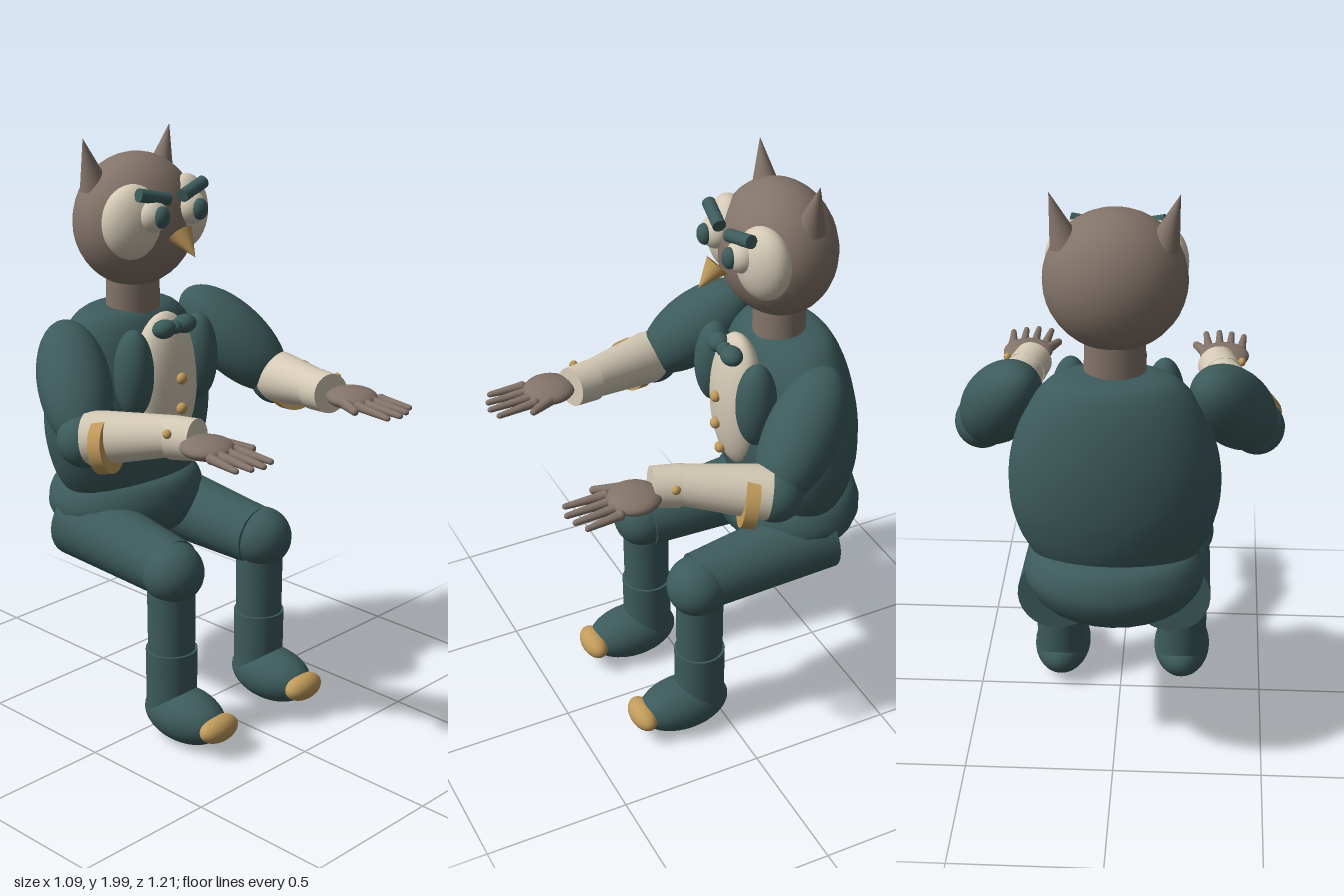
import * as THREE from 'three';

const mat = (name, color) => {
  const m = new THREE.MeshStandardMaterial({ color });
  m.name = name;
  return m;
};

export function createModel() {
  const root = new THREE.Group();
  root.name = 'seatedOwl';
  const suit = mat('suit teal', 0x3d5b5b);
  const feather = mat('feather taupe', 0x83746a);
  const cream = mat('shirt cream', 0xd3c9b5);
  const gold = mat('trim gold', 0xc09a5b);
  const V = (p) => new THREE.Vector3(...p);
  const UP = new THREE.Vector3(0, 1, 0);

  const add = (parent, name, geo, material, pos = [0, 0, 0]) => {
    const m = new THREE.Mesh(geo, material);
    m.name = name;
    m.position.set(...pos);
    parent.add(m);
    return m;
  };
  const ball = (parent, name, material, pos, radii) => {
    const m = add(parent, name, new THREE.SphereGeometry(1, 32, 20), material, pos);
    m.scale.set(...radii);
    return m;
  };
  // tapered limb from a (radius ra) to b (radius rb)
  const limb = (parent, name, material, a, b, ra, rb) => {
    const dir = V(b).sub(V(a));
    const m = add(parent, name, new THREE.CylinderGeometry(rb, ra, dir.length(), 28), material);
    m.position.copy(V(a)).addScaledVector(dir, 0.5);
    m.quaternion.setFromUnitVectors(UP, dir.normalize());
    return m;
  };
  const lathe = (parent, name, material, pts, z, depth, sides) => {
    const curve = new THREE.SplineCurve(pts.map((p) => new THREE.Vector2(...p)));
    const profile = curve.getPoints(32).map((p) => p.set(Math.max(p.x, 0), p.y));
    const m = add(parent, name, new THREE.LatheGeometry(profile, sides), material, [0, 0, z]);
    m.scale.z = depth;
    return m;
  };

  // Body
  lathe(root, 'torso', suit, [[0, 0.72], [0.2, 0.74], [0.285, 0.82], [0.33, 0.94], [0.34, 1.05],
    [0.327, 1.16], [0.29, 1.27], [0.235, 1.36], [0.16, 1.41], [0, 1.42]], -0.348, 0.62, 36);
  lathe(root, 'hips', suit, [[0, 0.56], [0.14, 0.575], [0.24, 0.62], [0.29, 0.69], [0.292, 0.75],
    [0.25, 0.81], [0.15, 0.825], [0, 0.825]], -0.36, 0.83, 24);
  ball(root, 'shirtFront', cream, [0, 1.163, -0.165], [0.136, 0.25, 0.08]);
  for (const [y, z] of [[1.196, -0.082], [1.09, -0.082], [0.985, -0.1]]) {
    ball(root, 'shirtButton', gold, [0, y, z], [0.02, 0.02, 0.018]);
  }
  ball(root, 'bowKnot', suit, [0, 1.37, -0.115], [0.024, 0.024, 0.028]);

  // Head
  const neck = limb(root, 'neck', feather, [0, 1.37, -0.315], [0, 1.53, -0.315], 0.1, 0.095);
  neck.scale.z = 0.87;
  ball(root, 'head', feather, [0, 1.71, -0.3], [0.225, 0.225, 0.19]);
  limb(root, 'beak', gold, [0, 1.693, -0.085], [0, 1.625, -0.017], 0.043, 0);

  // Paired parts: s = 1 is the model's left, s = -1 its right
  for (const s of [1, -1]) {
    const side = new THREE.Group();
    side.name = s > 0 ? 'leftSide' : 'rightSide';
    root.add(side);
    const P = (x, y, z) => [s * x, y, z];

    // Face
    limb(side, 'earTuft', feather, P(0.148, 1.835, -0.335), P(0.197, 2.0, -0.335), 0.05, 0);
    ball(side, 'faceDisc', cream, P(0.122, 1.735, -0.185), [0.105, 0.125, 0.07]).rotation.y = s * 0.35;
    ball(side, 'eyeball', cream, P(0.09, 1.76, -0.125), [0.055, 0.055, 0.05]);
    ball(side, 'iris', suit, P(0.088, 1.762, -0.082), [0.03, 0.036, 0.024]);
    limb(side, 'brow', suit, P(0.148, 1.837, -0.127), P(0.033, 1.81, -0.108), 0.022, 0.022);

    // Jacket front and bow tie
    ball(side, 'lapel', suit, P(0.152, 1.23, -0.155), [0.066, 0.152, 0.07]);
    ball(side, 'bowLoop', suit, P(0.048, 1.372, -0.115), [0.044, 0.032, 0.036]);

    // Arm
    const upper = ball(side, 'upperArm', suit, P(0.375, 1.235, -0.2), [0.122, 0.24, 0.122]);
    upper.quaternion.setFromUnitVectors(UP, V(P(0.075, -0.135, 0.13)).normalize());
    ball(side, 'elbow', suit, P(0.455, 1.1, -0.065), [0.092, 0.092, 0.092]);
    limb(side, 'forearm', cream, P(0.448, 1.108, -0.045), P(0.335, 1.155, 0.23), 0.091, 0.065);
    limb(side, 'sleeveBand', gold, P(0.454, 1.095, 0.005), P(0.438, 1.102, 0.045), 0.092, 0.09);
    limb(side, 'cuff', cream, P(0.341, 1.149, 0.22), P(0.319, 1.157, 0.305), 0.071, 0.067);
    ball(side, 'cuffButton', gold, P(0.405, 1.185, 0.258), [0.013, 0.015, 0.015]);

    // Hand
    ball(side, 'palm', feather, P(0.345, 1.155, 0.375), [0.086, 0.034, 0.088]);
    const fingers = [[0.405, 0.415, 0.57], [0.366, 0.371, 0.592], [0.328, 0.327, 0.602], [0.29, 0.28, 0.588]];
    for (const [x0, x1, z1] of fingers) {
      ball(side, 'knuckle', feather, P(x0, 1.152, 0.45), [0.017, 0.017, 0.017]);
      limb(side, 'finger', feather, P(x0, 1.152, 0.45), P(x1, 1.145, z1 - 0.01), 0.016, 0.01);
      ball(side, 'fingertip', feather, P(x1, 1.145, z1 - 0.01), [0.01, 0.01, 0.012]);
    }
    limb(side, 'thumb', feather, P(0.283, 1.155, 0.39), P(0.246, 1.15, 0.47), 0.02, 0.013);
    ball(side, 'thumbTip', feather, P(0.246, 1.15, 0.47), [0.013, 0.013, 0.013]);

    // Leg
    limb(side, 'thigh', suit, P(0.185, 0.648, -0.405), P(0.205, 0.612, 0.085), 0.13, 0.103);
    ball(side, 'knee', suit, P(0.217, 0.608, 0.092), [0.105, 0.105, 0.105]);
    limb(side, 'shin', suit, P(0.217, 0.3, 0.083), P(0.217, 0.6, 0.083), 0.08, 0.082);
    limb(side, 'bootShaft', suit, P(0.217, 0.1, 0.083), P(0.217, 0.33, 0.083), 0.086, 0.088);
    ball(side, 'foot', suit, P(0.217, 0.102, 0.147), [0.1, 0.095, 0.168]);
    ball(side, 'toeCap', gold, P(0.213, 0.102, 0.302), [0.08, 0.046, 0.045]);
  }
  return root;
}
